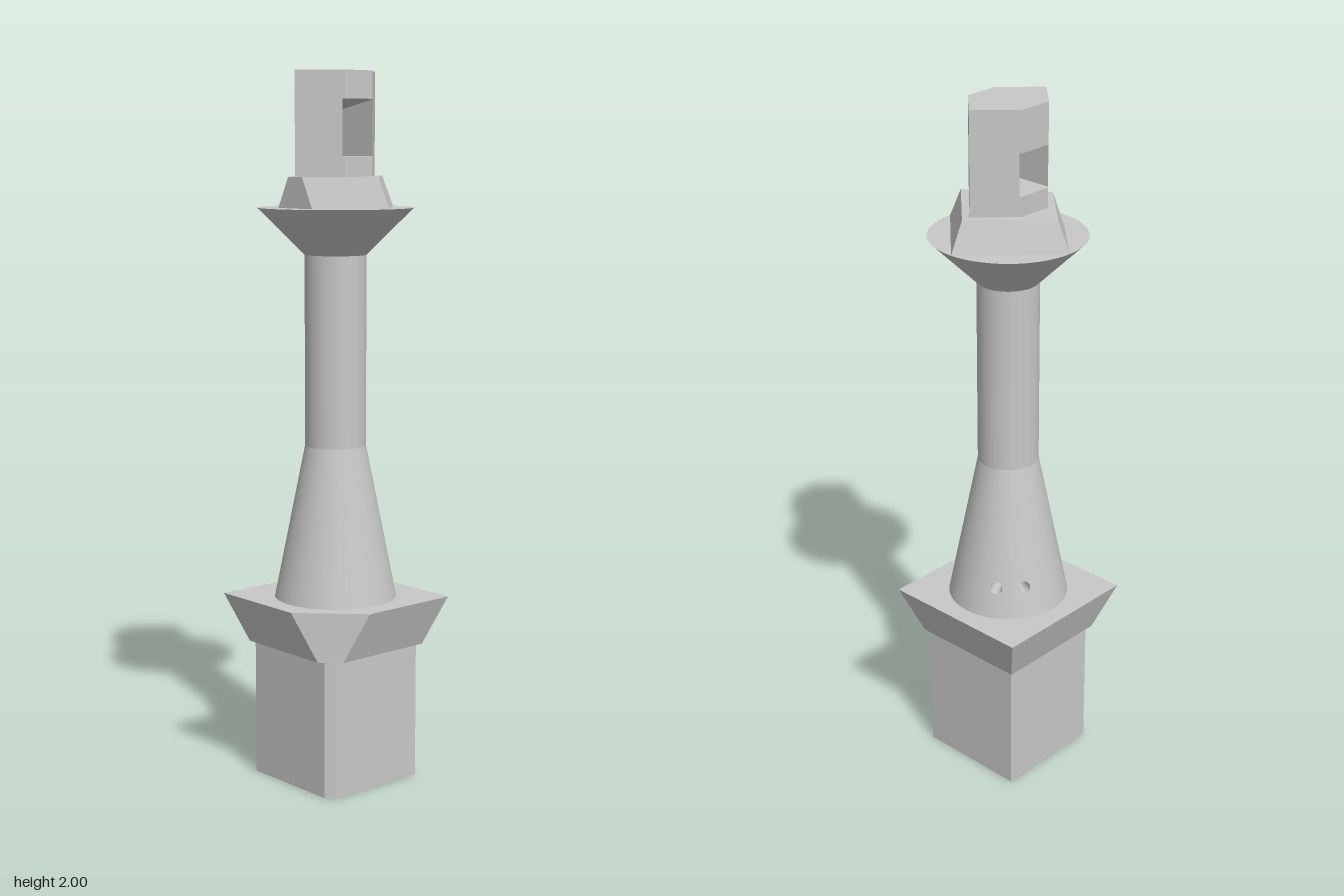
import * as THREE from 'three';

const RAD = Math.PI / 180;
const CONE = { y0: 0.53, y1: 0.965, r0: 0.173, r1: 0.086 };

// Flat-sided solid between two loops of [x, y, z], counterclockwise from above
function loft(lower, upper, closeBottom = true) {
  const n = lower.length, pos = [];
  const tri = (a, b, c) => pos.push(...a, ...b, ...c);
  for (let i = 0; i < n; i++) {
    const k = (i + 1) % n;
    tri(lower[i], lower[k], upper[k]);
    tri(lower[i], upper[k], upper[i]);
  }
  for (let i = 1; i < n - 1; i++) {
    tri(upper[0], upper[i], upper[i + 1]);
    if (closeBottom) tri(lower[0], lower[i + 1], lower[i]);
  }
  const g = new THREE.BufferGeometry();
  g.setAttribute('position', new THREE.Float32BufferAttribute(pos, 3));
  g.computeVertexNormals();
  return g;
}

const atY = (pts, y) => pts.map(([x, z]) => [x, y, z]);

// Square with its front right corner cut off
const cutSquare = (h, k) => [[h, h], [h, -h], [-h, -h], [-h, k], [-k, h]];

// Diamond with its right tip cut off
const cutDiamond = (r, c) => [[r, 0], [0, -r], [-c, c - r], [-c, r - c], [0, r]];

// Smooth surface from rings of points f(turn, step)
function rings(n, m, f) {
  const pos = [], idx = [];
  for (let j = 0; j <= m; j++)
    for (let i = 0; i <= n; i++) pos.push(...f((i / n) * Math.PI * 2, j / m));
  for (let j = 0; j < m; j++)
    for (let i = 0; i < n; i++) {
      const a = j * (n + 1) + i, b = a + n + 1;
      idx.push(a, b, b + 1, a, b + 1, a + 1);
    }
  const g = new THREE.BufferGeometry();
  g.setAttribute('position', new THREE.Float32BufferAttribute(pos, 3));
  g.setIndex(idx);
  g.computeVertexNormals();
  return g;
}

const coneRadius = (y) =>
  CONE.r0 + (CONE.r1 - CONE.r0) * (y - CONE.y0) / (CONE.y1 - CONE.y0);

export function createModel() {
  const model = new THREE.Group();
  model.name = 'post';
  const grey = new THREE.MeshStandardMaterial({ color: 0xc8c8c8 });
  grey.name = 'grey';
  const add = (name, geometry) => {
    const mesh = new THREE.Mesh(geometry, grey);
    mesh.name = name;
    model.add(mesh);
    return mesh;
  };
  const tube = (name, rBottom, rTop, y0, y1, start = 0, length = 360) => {
    const segments = Math.max(4, Math.round(length / 5));
    add(name, new THREE.CylinderGeometry(rTop, rBottom, y1 - y0, segments, 1, true,
      start * RAD, length * RAD)).position.y = (y0 + y1) / 2;
  };

  // Square foot with a round bore in its underside
  const foot = cutSquare(0.163, 0.14), boreR = 0.07, boreTop = 0.9;
  add('foot', loft(atY(foot, 0), atY(foot, 0.39), false));
  const underside = new THREE.Shape(foot.map(([x, z]) => new THREE.Vector2(x, -z)));
  underside.holes.push(new THREE.Path().absarc(0, 0, boreR, 0, Math.PI * 2, true));
  const bottom = new THREE.ShapeGeometry(underside, 24);
  bottom.rotateX(-Math.PI / 2);
  const index = bottom.index.array;
  for (let i = 0; i < index.length; i += 3)
    [index[i], index[i + 2]] = [index[i + 2], index[i]];
  bottom.computeVertexNormals();
  add('footUnderside', bottom);
  add('bore', new THREE.LatheGeometry(
    [new THREE.Vector2(boreR, boreTop), new THREE.Vector2(boreR, 0)], 48));
  const boreEnd = add('boreEnd', new THREE.CircleGeometry(boreR, 48));
  boreEnd.rotation.x = Math.PI / 2;
  boreEnd.position.y = boreTop;

  // Flared collar above the foot
  add('collar', loft(atY(cutSquare(0.175, 0.125), 0.39), atY(cutSquare(0.227, 0.073), 0.53)));

  // Tapered shaft, with two panels holding small drilled holes
  tube('taper', CONE.r0, CONE.r1, CONE.y0, CONE.y1, 159, 312);
  tube('taperBetweenHoles', CONE.r0, CONE.r1, CONE.y0, CONE.y1, 129, 12);
  const holeY = 0.62, holeR = 0.018;
  for (const angle of [120, 150]) {
    const onCone = (t, y, r = coneRadius(y)) => {
      const a = angle * RAD + t;
      return [r * Math.sin(a), y, r * Math.cos(a)];
    };
    const rim = (p) => [holeR * Math.cos(p) / coneRadius(holeY), holeY + holeR * Math.sin(p)];
    add('holePanel', rings(32, 6, (p, s) => {
      const c = Math.cos(p), q = Math.sin(p), k = 1 / Math.max(Math.abs(c), Math.abs(q));
      const [t, y] = rim(p);
      const edgeY = holeY + q * k * (q > 0 ? CONE.y1 - holeY : holeY - CONE.y0);
      return onCone(t + (c * k * 9 * RAD - t) * s, y + (edgeY - y) * s);
    }));
    add('holeWall', rings(32, 1, (p, s) => {
      const [t, y] = rim(p);
      return onCone(t, y, boreR + (coneRadius(y) - boreR) * s);
    }));
  }

  // Neck and flared cup
  tube('neck', CONE.r1, CONE.r1, CONE.y1, 1.5);
  tube('cup', CONE.r1, 0.217, 1.5, 1.63);
  const cupTop = add('cupTop', new THREE.CircleGeometry(0.217, 72));
  cupTop.rotation.x = -Math.PI / 2;
  cupTop.position.y = 1.63;

  // Bevelled diamond plinth
  add('plinth', loft(atY(cutDiamond(0.217, 0.146), 1.63), atY(cutDiamond(0.175, 0.146), 1.715)));

  // Six-sided head with a window through it
  const w = 0.055, d = 0.146 - w, y0 = 1.715, top = 2;
  for (const side of [1, -1]) {
    const pillar = [[side * 0.146, 0], [side * w, -side * d], [side * w, side * d]];
    add('headPillar', loft(atY(pillar, y0), atY(pillar, top)));
  }
  const core = [[w, d], [w, -d], [0.05, -0.096], [-0.05, -0.096],
    [-w, -d], [-w, d], [-0.05, 0.096], [0.05, 0.096]];
  add('windowSill', loft(atY(core, y0), atY(core, 1.77)));
  // The window ceiling rises towards the front
  const ceiling = core.map(([x, z]) => [x, 1.905 + z * 0.2, z]);
  add('windowLintel', loft(ceiling, atY(core, top)));

  return model;
}
